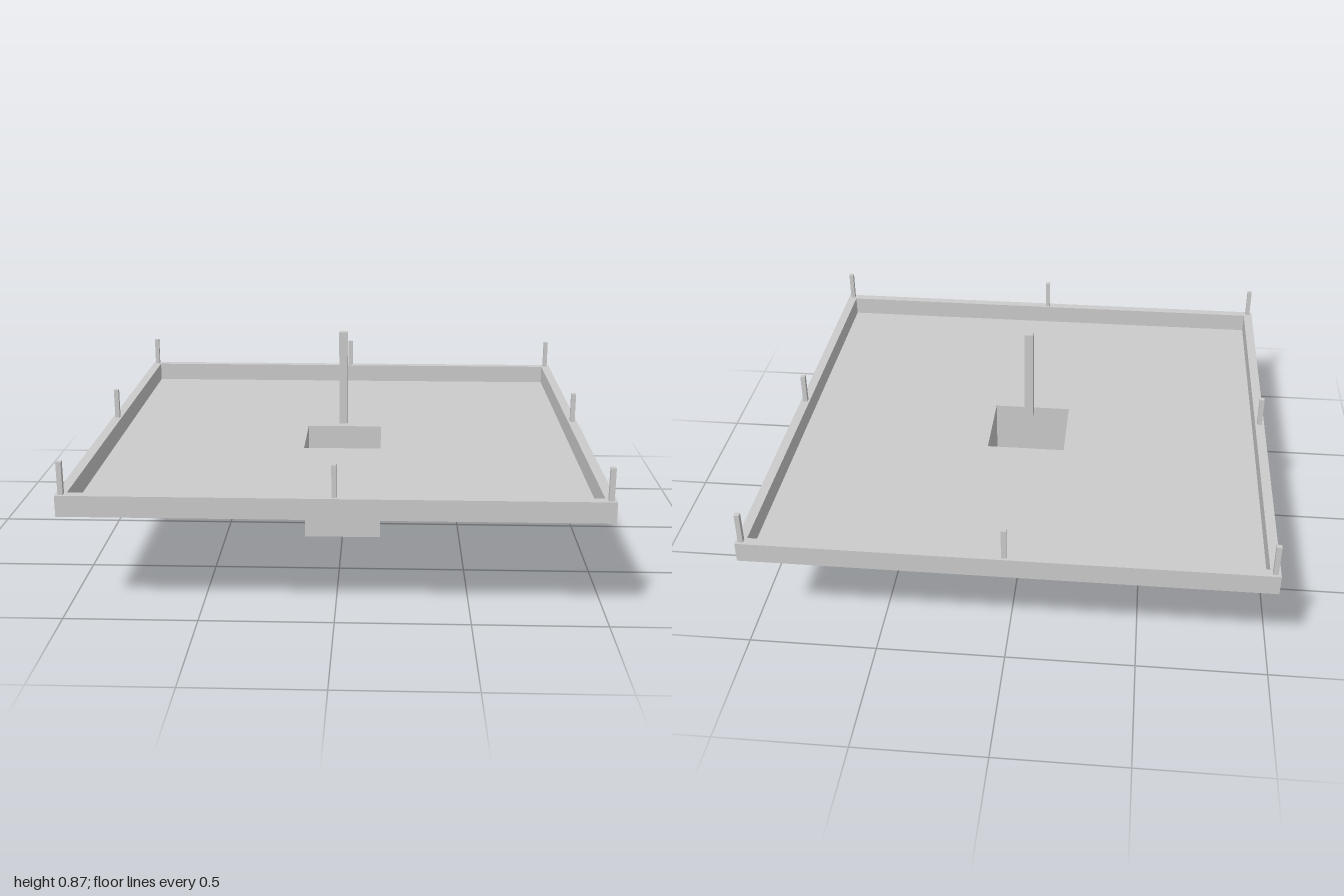
import * as THREE from 'three';

const grey = new THREE.MeshStandardMaterial({ color: 0xcccccc, flatShading: true });
const sheet = new THREE.MeshStandardMaterial({ color: 0xcccccc, flatShading: true, side: THREE.DoubleSide });

// Heights and half-widths shared by the parts
const FLOOR = 0.4, RIM_TOP = 0.48, OUTER = 1, INNER = 0.962, PIT = 0.161;

// Open square shell: a four-sided sweep of [half-width, height] points
function squareShell(name, profile) {
  const points = profile.map(([h, y]) => new THREE.Vector2(h * Math.SQRT2, y));
  const mesh = new THREE.Mesh(new THREE.LatheGeometry(points, 4, Math.PI / 4), sheet);
  mesh.name = name;
  return mesh;
}

// Square post standing between two heights
function post(name, size, x, z, bottom, top) {
  const mesh = new THREE.Mesh(new THREE.BoxGeometry(size, top - bottom, size), grey);
  mesh.position.set(x, (bottom + top) / 2, z);
  mesh.name = name;
  return mesh;
}

export function createModel() {
  const model = new THREE.Group();
  model.name = 'trayWithPit';

  // Raised rim, hollow underneath
  model.add(squareShell('rim', [[OUTER, FLOOR], [OUTER, RIM_TOP], [INNER, RIM_TOP], [INNER, FLOOR]]));
  // Thin floor with a square opening
  model.add(squareShell('floor', [[INNER, FLOOR], [PIT, FLOOR]]));
  // Pit hanging below the opening, closed at the bottom
  model.add(squareShell('pit', [[PIT, FLOOR], [PIT, 0], [0, 0]]));

  // Tall post above the pit
  model.add(post('centrePost', 0.036, 0, 0, 0.465, 0.865));

  // Short posts at the corners and side middles of the rim
  for (const i of [-1, 0, 1]) {
    for (const k of [-1, 0, 1]) {
      if (i || k) model.add(post('rimPost', 0.019, i * 0.98, k * 0.98, FLOOR, 0.603));
    }
  }
  return model;
}
